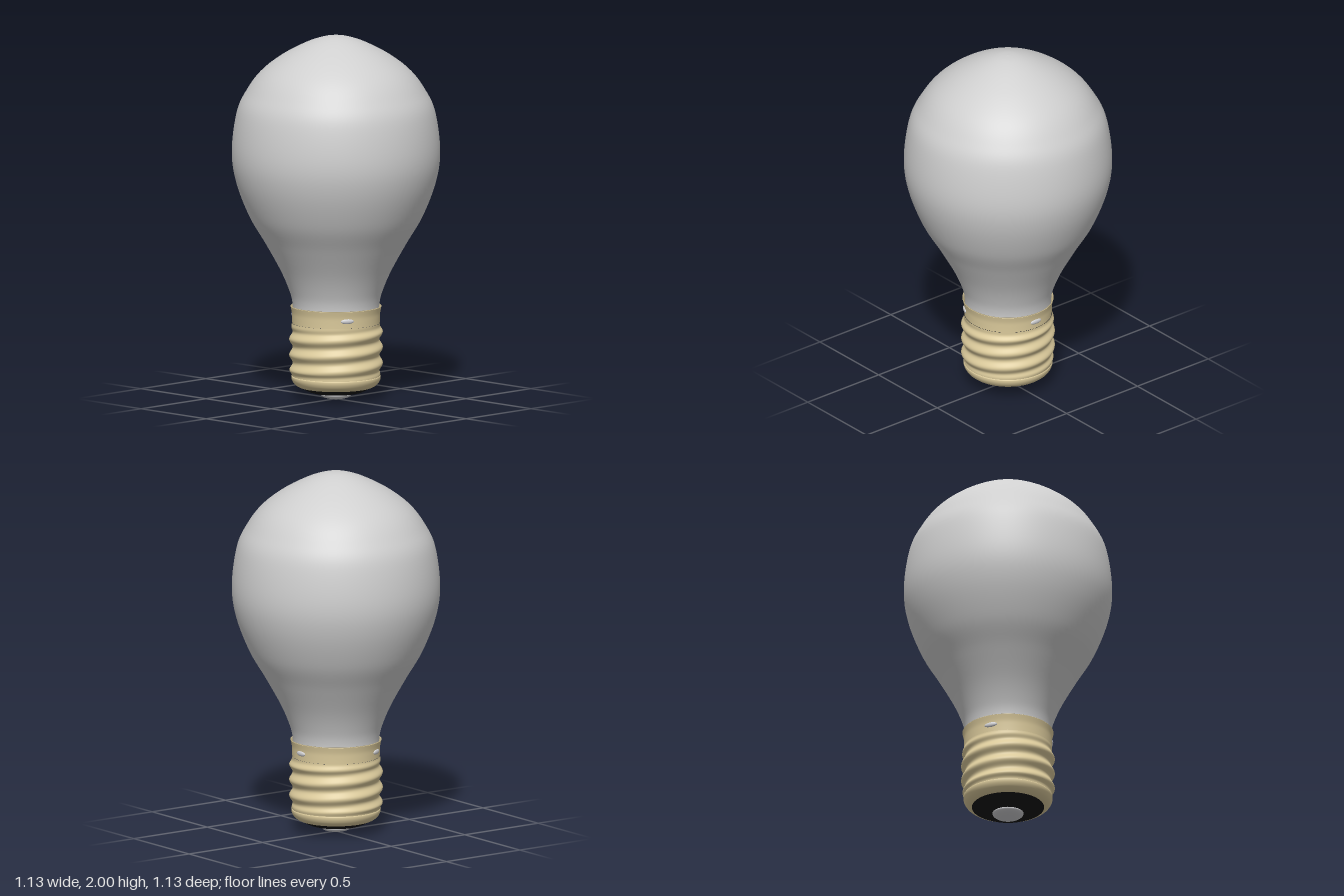
import * as THREE from 'three';
import { mergeVertices } from 'three/addons/utils/BufferGeometryUtils.js';

const mat = (name, color) => new THREE.MeshStandardMaterial({ name, color });
const v = ([x, y]) => new THREE.Vector2(x, y);

export function createModel() {
  const group = new THREE.Group();
  const glass = mat('frosted glass', 0xcfcfcf);
  const brass = mat('pale brass', 0xdccb9c);
  const black = mat('black insulator', 0x161616);
  const solder = mat('solder', 0xcfcfd2);

  function add(name, geometry, material) {
    const mesh = new THREE.Mesh(geometry, material);
    mesh.name = name;
    group.add(mesh);
    return mesh;
  }
  // Smooth turned part; profile runs from bottom to top as [radius, y]
  function turned(name, profile, material, steps = 0) {
    let points = profile.map(v);
    if (steps) {
      points = new THREE.SplineCurve(points).getPoints(steps);
      points.forEach((p) => { p.x = Math.max(0, p.x); });
    }
    return add(name, new THREE.LatheGeometry(points, 96), material);
  }

  // Glass envelope with a slightly pointed crown
  turned('bulb', [
    [0.234, 0.46], [0.237, 0.53], [0.255, 0.6], [0.302, 0.71], [0.385, 0.86], [0.473, 1.01],
    [0.545, 1.2], [0.567, 1.37], [0.54, 1.58], [0.485, 1.7], [0.41, 1.8], [0.3, 1.887],
    [0.17, 1.957], [0.07, 1.992], [0, 2],
  ], glass, 90);

  // Flared collar with a thin turned-in lip
  turned('collar', [[0.238, 0.42], [0.239, 0.45], [0.241, 0.48], [0.248, 0.512]], brass, 12);
  turned('collarLip', [[0.248, 0.512], [0.245, 0.515], [0.24, 0.5], [0.236, 0.47]], brass);

  // Right-handed screw thread: ridges follow a helix and fade at both ends
  const bottom = 0.125, top = 0.42, pitch = 0.0865;
  const wall = Array.from({ length: 73 }, (_, i) => [0.24, bottom + (top - bottom) * i / 72]);
  let thread = new THREE.LatheGeometry(wall.map(v), 96);
  const pos = thread.attributes.position;
  for (let i = 0; i < pos.count; i++) {
    const x = pos.getX(i), y = pos.getY(i), z = pos.getZ(i);
    const turn = Math.atan2(-z, x) / (2 * Math.PI);
    const fade = THREE.MathUtils.smoothstep(y, bottom, bottom + 0.04)
      * (1 - THREE.MathUtils.smoothstep(y, top - 0.05, top));
    const ridge = Math.cos(2 * Math.PI * ((y - 0.297) / pitch - turn));
    const r = 0.24 + fade * (0.0055 + 0.0095 * ridge);
    const k = r / Math.hypot(x, z);
    pos.setXYZ(i, x * k, y, z * k);
  }
  thread.deleteAttribute('uv');
  thread.deleteAttribute('normal');
  thread = mergeVertices(thread, 1e-5);
  thread.computeVertexNormals();
  add('screwThread', thread, brass);

  // Rounded lower shell, insulator and end contact
  turned('lowerShell', [
    [0.195, 0.066], [0.212, 0.073], [0.23, 0.088], [0.241, 0.108], [0.243, 0.125], [0.238, 0.13],
  ], brass, 20);
  turned('insulator', [[0.07, 0.03], [0.1, 0.032], [0.15, 0.043], [0.203, 0.07]], black, 12);
  turned('endContact', [
    [0, 0], [0.04, 0.003], [0.068, 0.011], [0.083, 0.023], [0.084, 0.034],
  ], solder, 16);

  // Three solder spots around the collar
  for (let i = 0; i < 3; i++) {
    const a = i * 2 * Math.PI / 3;
    const spot = add('solderSpot', new THREE.SphereGeometry(1, 24, 12), solder);
    spot.scale.set(0.009, 0.014, 0.037);
    spot.position.set(0.238 * Math.cos(a), 0.46, 0.238 * Math.sin(a));
    spot.rotation.y = -a;
  }
  return group;
}
